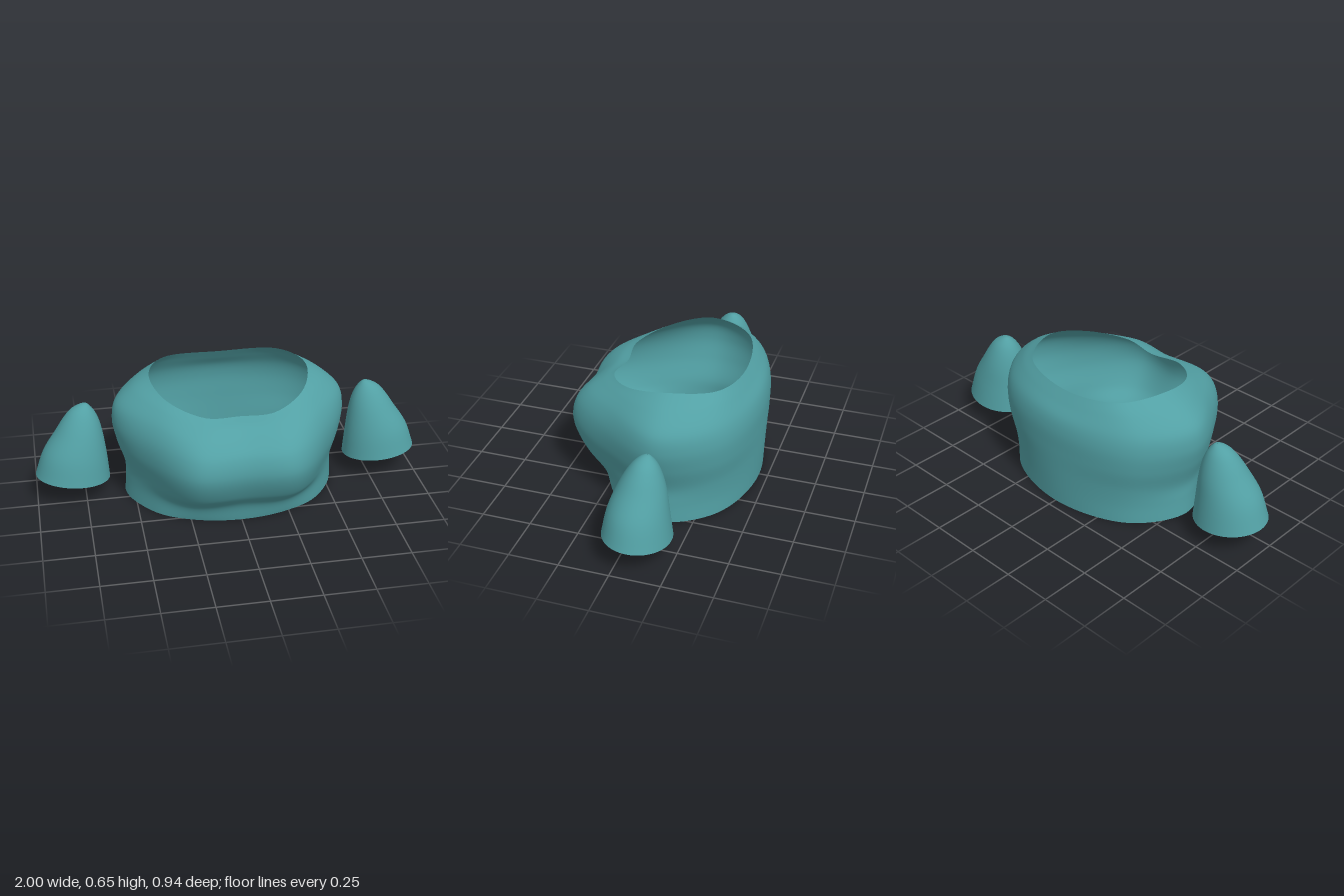
import * as THREE from 'three';

const material = new THREE.MeshStandardMaterial({ color: 0x52a0a4, side: THREE.DoubleSide });

// Smooth open shell through closed rings of points, listed bottom to top
function loft(name, rings, around, up) {
  const loops = rings.map((ring) => {
    const curve = new THREE.CatmullRomCurve3(ring, true);
    return Array.from({ length: around }, (_, i) => curve.getPoint(i / around));
  });
  const positions = [];
  const index = [];
  for (let i = 0; i < around; i++) {
    const column = new THREE.CatmullRomCurve3(loops.map((loop) => loop[i]));
    for (let j = 0; j <= up; j++) positions.push(...column.getPoint(j / up).toArray());
  }
  for (let i = 0; i < around; i++) {
    for (let j = 0; j < up; j++) {
      const a = i * (up + 1) + j;
      const b = ((i + 1) % around) * (up + 1) + j;
      index.push(a, b, b + 1, a, b + 1, a + 1);
    }
  }
  const geometry = new THREE.BufferGeometry();
  geometry.setAttribute('position', new THREE.Float32BufferAttribute(positions, 3));
  geometry.setIndex(index);
  geometry.computeVertexNormals();
  const mesh = new THREE.Mesh(geometry, material);
  mesh.name = name;
  return mesh;
}

// Lengthwise profiles of the torso's left half, each [x, y, z] from hem to neck
const frontMiddle = [[0, 0, 0.315], [0, 0.1, 0.345], [0, 0.19, 0.41], [0, 0.32, 0.457],
  [0, 0.42, 0.44], [0, 0.48, 0.39], [0, 0.53, 0.32], [0, 0.553, 0.25]];
const chest = [[0.24, 0, 0.275], [0.24, 0.09, 0.31], [0.25, 0.18, 0.4], [0.25, 0.32, 0.46],
  [0.24, 0.42, 0.445], [0.23, 0.49, 0.39], [0.2, 0.54, 0.315], [0.17, 0.565, 0.262]];
const frontSide = [[0.42, 0, 0.17], [0.425, 0.1, 0.175], [0.43, 0.19, 0.205], [0.445, 0.32, 0.235],
  [0.445, 0.43, 0.225], [0.42, 0.51, 0.2], [0.38, 0.57, 0.16], [0.34, 0.605, 0.13]];
const side = [[0.545, 0, -0.08], [0.54, 0.1, -0.08], [0.54, 0.18, -0.08], [0.578, 0.31, -0.08],
  [0.597, 0.42, -0.08], [0.58, 0.51, -0.08], [0.5, 0.59, -0.08], [0.402, 0.648, -0.08]];
const backSide = [[0.39, 0, -0.34], [0.39, 0.1, -0.34], [0.4, 0.2, -0.345], [0.42, 0.32, -0.36],
  [0.43, 0.43, -0.36], [0.42, 0.51, -0.345], [0.36, 0.59, -0.32], [0.3, 0.638, -0.3]];
const backMiddle = [[0, 0, -0.455], [0, 0.1, -0.46], [0, 0.2, -0.464], [0, 0.32, -0.467],
  [0, 0.43, -0.465], [0, 0.5, -0.448], [0, 0.56, -0.408], [0, 0.615, -0.37]];

function createTorso() {
  const half = [chest, frontSide, side, backSide];
  const rings = frontMiddle.map((_, level) => {
    const left = half.map((profile) => new THREE.Vector3(...profile[level]));
    const right = left.map((p) => new THREE.Vector3(-p.x, p.y, p.z)).reverse();
    return [new THREE.Vector3(...frontMiddle[level]), ...left,
      new THREE.Vector3(...backMiddle[level]), ...right];
  });
  return loft('torso', rings, 100, 56);
}

// Sleeve levels: [inner x, outer x, height, middle z, half depth]
const sleeveLevels = [
  [0.622, 1.0, 0.124, -0.075, 0.165],
  [0.632, 0.955, 0.25, -0.077, 0.143],
  [0.646, 0.885, 0.36, -0.086, 0.112],
  [0.662, 0.84, 0.43, -0.092, 0.083],
  [0.682, 0.803, 0.475, -0.096, 0.056],
  [0.703, 0.765, 0.501, -0.098, 0.03],
  [0.716, 0.74, 0.511, -0.1, 0.012],
  [0.727, 0.729, 0.513, -0.1, 0.001],
];

function createSleeve(name, sign) {
  const rings = sleeveLevels.map(([inner, outer, y, z, depth]) =>
    Array.from({ length: 16 }, (_, i) => {
      const angle = (i / 16) * Math.PI * 2;
      const dx = Math.sin(angle) * (outer - inner) / 2;
      const dz = Math.cos(angle) * depth;
      // each ring rises outward and slightly forward
      return new THREE.Vector3(sign * (inner + outer) / 2 + dx, y + sign * dx * 0.11 + dz * 0.06, z + dz);
    }));
  return loft(name, rings, 64, 42);
}

export function createModel() {
  const group = new THREE.Group();
  group.name = 'top';
  group.add(createTorso(), createSleeve('leftSleeve', 1), createSleeve('rightSleeve', -1));
  return group;
}
